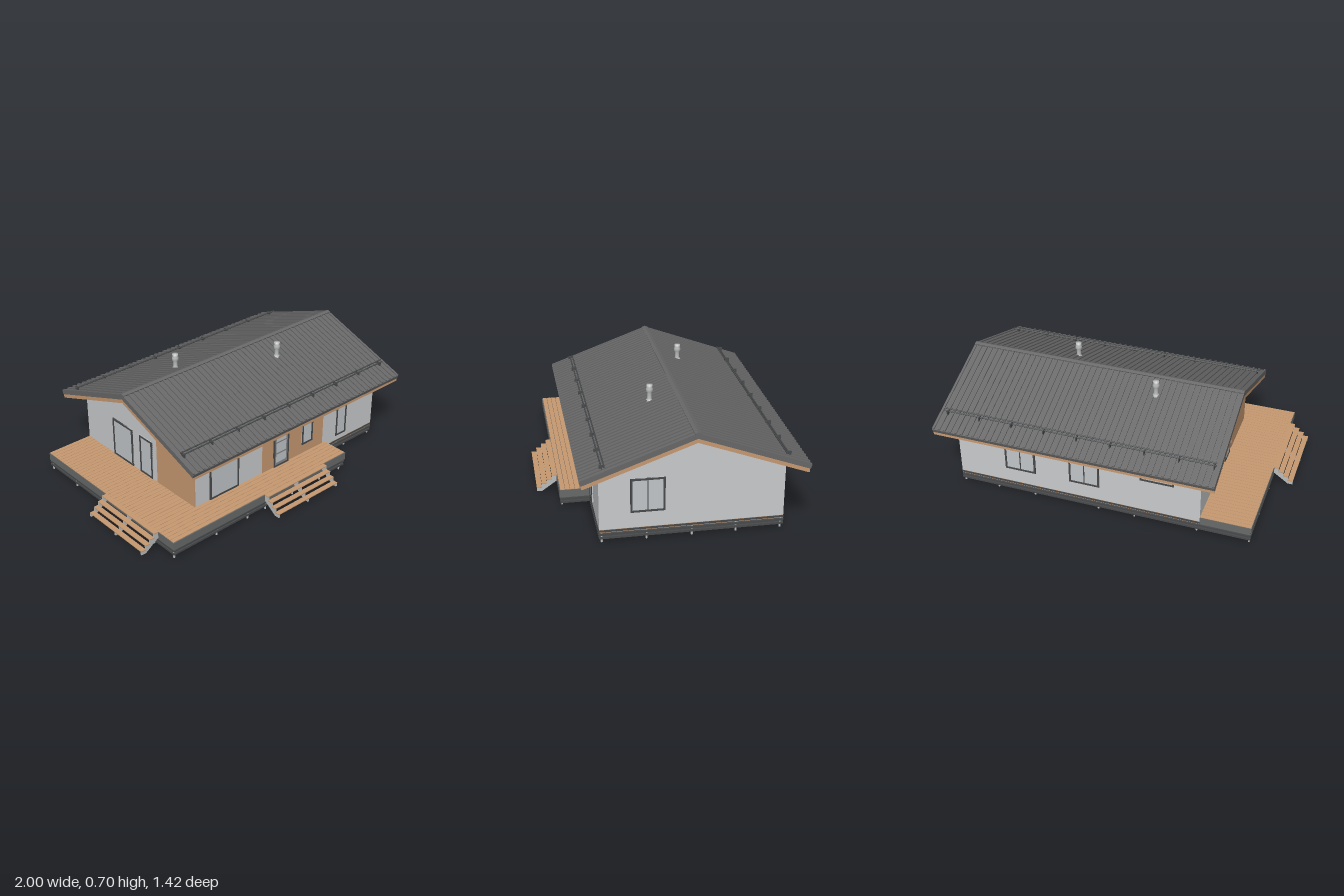
import * as THREE from 'three';

const mat = (name, color) => {
  const m = new THREE.MeshStandardMaterial({ color });
  m.name = name;
  return m;
};

export function createModel() {
  const M = {
    wall: mat('light grey wall', 0xcacccd),
    wood: mat('warm wood', 0xc89a72),
    roof: mat('roof grey', 0x686868),
    frame: mat('dark frame', 0x484a4b),
    trim: mat('deck skirt grey', 0x686b6a),
    glass: mat('pale glass', 0xc3c7ca),
    door: mat('door grey', 0x858789),
    soffit: mat('soffit grey green', 0xa6b4aa),
    metal: mat('galvanised metal', 0xbcbebe),
  };
  const model = new THREE.Group();
  model.name = 'house';

  const group = (name, parent = model) => {
    const g = new THREE.Group();
    g.name = name;
    parent.add(g);
    return g;
  };
  const add = (parent, name, geo, m) => {
    const mesh = new THREE.Mesh(geo, m);
    mesh.name = name;
    parent.add(mesh);
    return mesh;
  };
  // Box given by its limits on each axis
  const box = (parent, name, m, x0, x1, y0, y1, z0, z1) => {
    const mesh = add(parent, name, new THREE.BoxGeometry(x1 - x0, y1 - y0, z1 - z0), m);
    mesh.position.set((x0 + x1) / 2, (y0 + y1) / 2, (z0 + z1) / 2);
    return mesh;
  };
  // Profile of [z, y] points extruded from x0 to x1
  const extrudeX = (parent, name, m, pts, x0, x1) => {
    const shape = new THREE.Shape(pts.map(([z, y]) => new THREE.Vector2(-z, y)));
    const geo = new THREE.ExtrudeGeometry(shape, { depth: x1 - x0, bevelEnabled: false });
    geo.rotateY(Math.PI / 2).translate(x0, 0, 0);
    return add(parent, name, geo, m);
  };

  // Roof: layers share one ridge and one slope
  const RIDGE = -0.09, SLOPE = 0.365;
  const roofY = (z, apex = 0.66) => apex - Math.abs(z - RIDGE) * SLOPE;
  const chevron = (parent, name, m, apex, t, half, x0, x1) => {
    const e = half * SLOPE, k = t * 0.3;
    extrudeX(parent, name, m, [
      [RIDGE, apex], [RIDGE - half, apex - e], [RIDGE - half + k, apex - e - t + k * SLOPE],
      [RIDGE, apex - t], [RIDGE + half - k, apex - e - t + k * SLOPE], [RIDGE + half, apex - e],
    ], x0, x1);
  };
  const roof = group('roof');
  const RX0 = -0.685, RX1 = 1;
  chevron(roof, 'roofSheet', M.roof, 0.653, 0.025, 0.62, RX0, RX1);
  const RIBS = 48;
  for (let i = 0; i < RIBS; i++) {
    const x = RX0 + ((RX1 - RX0 - 0.014) * i) / (RIBS - 1);
    chevron(roof, 'roofRib', M.roof, 0.66, 0.01, 0.619, x, x + 0.014);
  }
  chevron(roof, 'ridgeCap', M.roof, 0.664, 0.008, 0.018, RX0, RX1);
  chevron(roof, 'soffit', M.soffit, 0.628, 0.016, 0.6, RX0 + 0.01, RX1 - 0.01);
  for (const x of [RX0 + 0.002, RX1 - 0.014])
    chevron(roof, 'bargeBoard', M.wood, 0.63, 0.026, 0.61, x, x + 0.012);
  for (const s of [-1, 1]) {
    const z = RIDGE + s * 0.603;
    box(roof, 'eaveBoard', M.wood, RX0 + 0.002, RX1 - 0.002, 0.385, 0.41, z - 0.006, z + 0.006);
    // Snow guard: two rails on brackets
    const zg = RIDGE + s * 0.5;
    for (const d of [0, 0.014]) {
      const rail = add(roof, 'snowRail', new THREE.CylinderGeometry(0.004, 0.004, 1.64, 8), M.frame);
      rail.rotation.z = Math.PI / 2;
      rail.position.set((RX0 + RX1) / 2, roofY(zg) + 0.01 + d * 0.5, zg - s * d);
    }
    for (let i = 0; i < 9; i++) {
      const x = -0.655 + i * 0.2;
      box(roof, 'snowRailBracket', M.frame, x, x + 0.006, roofY(zg) - 0.008, roofY(zg) + 0.016, zg - 0.018, zg + 0.012);
    }
  }

  // Roof vents
  const ventProfile = [[0.022, 0], [0.018, 0.012], [0.013, 0.018], [0.013, 0.055], [0.02, 0.06],
    [0.02, 0.078], [0.016, 0.084], [0.018, 0.1], [0, 0.102]].map(([r, y]) => new THREE.Vector2(r, y));
  for (const [x, y, z] of [[-0.195, 0.603, -0.212], [0.385, 0.59, 0.06]]) {
    add(model, 'roofVent', new THREE.LatheGeometry(ventProfile, 14), M.metal).position.set(x, y, z);
  }

  // Walls
  const X0 = -0.585, X1 = 0.895, ZB = -0.6, ZF = 0.42;
  extrudeX(model, 'walls', M.wall, [[ZF, 0.078], [ZF, roofY(ZF, 0.611)], [RIDGE, 0.611],
    [ZB, roofY(ZB, 0.611)], [ZB, 0.078]], X0, X1);
  box(model, 'frontCladding', M.wood, -0.07, 0.44, 0.11, 0.425, ZF - 0.002, ZF + 0.003);
  box(model, 'windowHeader', M.wood, -0.48, -0.26, 0.365, 0.425, ZF - 0.002, ZF + 0.003);
  box(model, 'sideCladding', M.wood, X0 - 0.003, X0 + 0.002, 0.11, 0.42, 0.085, ZF);

  // Framed opening; a, b run along the wall, ry turns it to face outwards
  const opening = (name, ry, a, b, y0, y1, mullions = 0, isDoor = false) => {
    const g = group(name);
    const w = b - a, h = y1 - y0, f = 0.011, c = (a + b) / 2;
    const part = (n, m, u0, u1, v0, v1, d) => box(g, n, m, u0, u1, v0, v1, -0.002, d);
    part('glass', M.glass, -w / 2, w / 2, 0, h, 0.0045);
    for (const s of [-1, 1]) {
      const u = s * (w / 2 - f / 2);
      part('frameSide', M.frame, u - f / 2, u + f / 2, 0, h, 0.0075);
    }
    for (const v of [0, h - f]) part('frameRail', M.frame, -w / 2, w / 2, v, v + f, 0.0075);
    for (let i = 1; i <= mullions; i++) {
      const u = -w / 2 + (w * i) / (mullions + 1);
      part('mullion', M.frame, u - 0.003, u + 0.003, 0, h, 0.007);
    }
    if (isDoor) {
      const q = w / 2 - f;
      for (const s of [-1, 1]) part('doorStile', M.door, Math.min(s * q, s * (q - 0.01)), Math.max(s * q, s * (q - 0.01)), f, h - f, 0.006);
      for (const v of [f, h * 0.34, h * 0.64, h - f - 0.01]) part('doorRail', M.door, -q, q, v, v + (v === f ? 0.016 : 0.008), 0.006);
    }
    g.rotation.y = ry;
    if (ry === 0) g.position.set(c, y0, ZF + 0.002);
    else if (ry === Math.PI) g.position.set(c, y0, ZB);
    else g.position.set(ry > 0 ? X1 : X0, y0, c);
  };
  const R = Math.PI / 2;
  opening('frontLargeWindow', 0, -0.48, -0.26, 0.115, 0.365);
  opening('frontDoor', 0, 0.018, 0.142, 0.112, 0.365, 0, true);
  opening('frontSmallWindow', 0, 0.255, 0.345, 0.175, 0.362);
  opening('frontTallWindow', 0, 0.555, 0.645, 0.115, 0.362);
  opening('leftWindow', R, 0.06, 0.25, 0.172, 0.372, 1);
  opening('rightLargeWindow', -R, -0.33, -0.14, 0.115, 0.365);
  opening('rightTallWindow', -R, -0.07, 0.045, 0.115, 0.365);
  opening('backWindow', Math.PI, 0.41, 0.6, 0.172, 0.372, 1);
  opening('backWindow', Math.PI, 0.015, 0.2, 0.172, 0.372, 1);
  opening('backLowWindow', Math.PI, -0.43, -0.23, 0.29, 0.372);

  // Deck on the front and the right side
  const DX0 = -0.88, DX1 = 0.465, DZ = 0.59;
  const deck = group('deck');
  const boards = (x0, x1, z0, z1, n) => {
    const p = (z1 - z0) / n;
    for (let i = 0; i < n; i++)
      box(deck, 'deckBoard', M.wood, x0, x1, 0.1, 0.112, z0 + i * p, z0 + (i + 1) * p - 0.0025);
  };
  boards(DX0, X0, ZB, ZF, 36);
  boards(DX0, DX1, ZF, DZ, 6);
  box(deck, 'sideDeckBase', M.trim, DX0 + 0.002, X0, 0.066, 0.102, ZB + 0.002, ZF);
  box(deck, 'frontDeckBase', M.trim, DX0 + 0.002, DX1 - 0.002, 0.066, 0.102, ZF - 0.01, DZ - 0.002);
  const skirt = (x0, x1, z0, z1) => box(deck, 'skirtBoard', M.trim, x0, x1, 0.062, 0.109, z0, z1);
  skirt(DX0, DX1, DZ - 0.006, DZ + 0.003);
  skirt(DX0 - 0.003, DX0 + 0.006, ZB, DZ + 0.003);
  skirt(DX1 - 0.006, DX1 + 0.003, ZF, DZ + 0.003);
  skirt(DX0, X0, ZB - 0.003, ZB + 0.006);

  // Floor seen from below, with beams and rim rails
  const base = group('foundation');
  box(base, 'houseFloor', M.wood, X0, X1, 0.06, 0.078, ZB, ZF);
  box(base, 'sideDeckFloor', M.wood, DX0 + 0.006, X0, 0.06, 0.067, ZB + 0.006, ZF);
  box(base, 'frontDeckFloor', M.wood, DX0 + 0.006, DX1 - 0.006, 0.06, 0.067, ZF, DZ - 0.006);
  const rails = (x0, x1, z0, z1) => {
    for (const y of [0.022, 0.042, 0.064]) box(base, 'rimRail', M.frame, x0, x1, y, y + 0.012, z0, z1);
  };
  rails(DX0, X1, ZB - 0.002, ZB + 0.012);
  rails(X1 - 0.012, X1 + 0.002, ZB, ZF);
  rails(DX1, X1, ZF - 0.012, ZF + 0.002);
  rails(DX1 - 0.014, DX1 - 0.002, ZF, DZ);
  rails(DX0 + 0.002, DX1 - 0.002, DZ - 0.014, DZ - 0.002);
  rails(DX0 + 0.002, DX0 + 0.014, ZB, DZ);
  const pileX = [-0.87, -0.565, -0.33, -0.19, 0.03, 0.26, 0.43, 0.665, 0.885];
  const pileZ = [-0.585, -0.335, -0.09, 0.16, 0.405];
  for (const z of pileZ.slice(1)) box(base, 'longBeam', M.frame, DX0 + 0.01, X1 - 0.01, 0.028, 0.06, z - 0.009, z + 0.009);
  for (const x of [-0.565, -0.1, 0.43])
    box(base, 'crossBeam', M.frame, x - 0.011, x + 0.011, 0.028, 0.061, ZB + 0.01, DZ - 0.01);

  // Piles
  const pileGeo = new THREE.CylinderGeometry(0.006, 0.006, 0.06, 8).translate(0, 0.03, 0);
  for (const x of pileX) {
    for (const z of pileZ) {
      if (x === -0.33 || x === 0.26) continue;
      add(base, 'pile', pileGeo, M.metal).position.set(x, 0, z);
    }
    if (x < DX1) add(base, 'pile', pileGeo, M.metal).position.set(x, 0, 0.578);
  }

  // Stairs: toothed stringers with open treads, running outwards along +z
  const stairs = (name, width) => {
    const g = group(name);
    const pts = [[0, 0.107], [0.03, 0.107]];
    for (let i = 1; i < 4; i++) pts.push([0.03 * i, 0.107 - 0.025 * i], [0.03 * (i + 1), 0.107 - 0.025 * i]);
    pts.push([0.12, 0.012], [0.09, 0.012], [0, 0.075]);
    for (const x of [-width / 2, -0.005, width / 2 - 0.01]) extrudeX(g, 'stringer', M.metal, pts.slice().reverse(), x, x + 0.01);
    for (let i = 0; i < 4; i++) {
      const y = 0.107 - 0.025 * i;
      box(g, 'tread', M.wood, -width / 2, width / 2, y, y + 0.005, 0.03 * i, 0.03 * (i + 1) + 0.001);
    }
    return g;
  };
  stairs('frontStairs', 0.485).position.set(0.033, 0, DZ);
  const side = stairs('sideStairs', 0.48);
  side.rotation.y = -R;
  side.position.set(DX0, 0, 0.22);

  return model;
}
